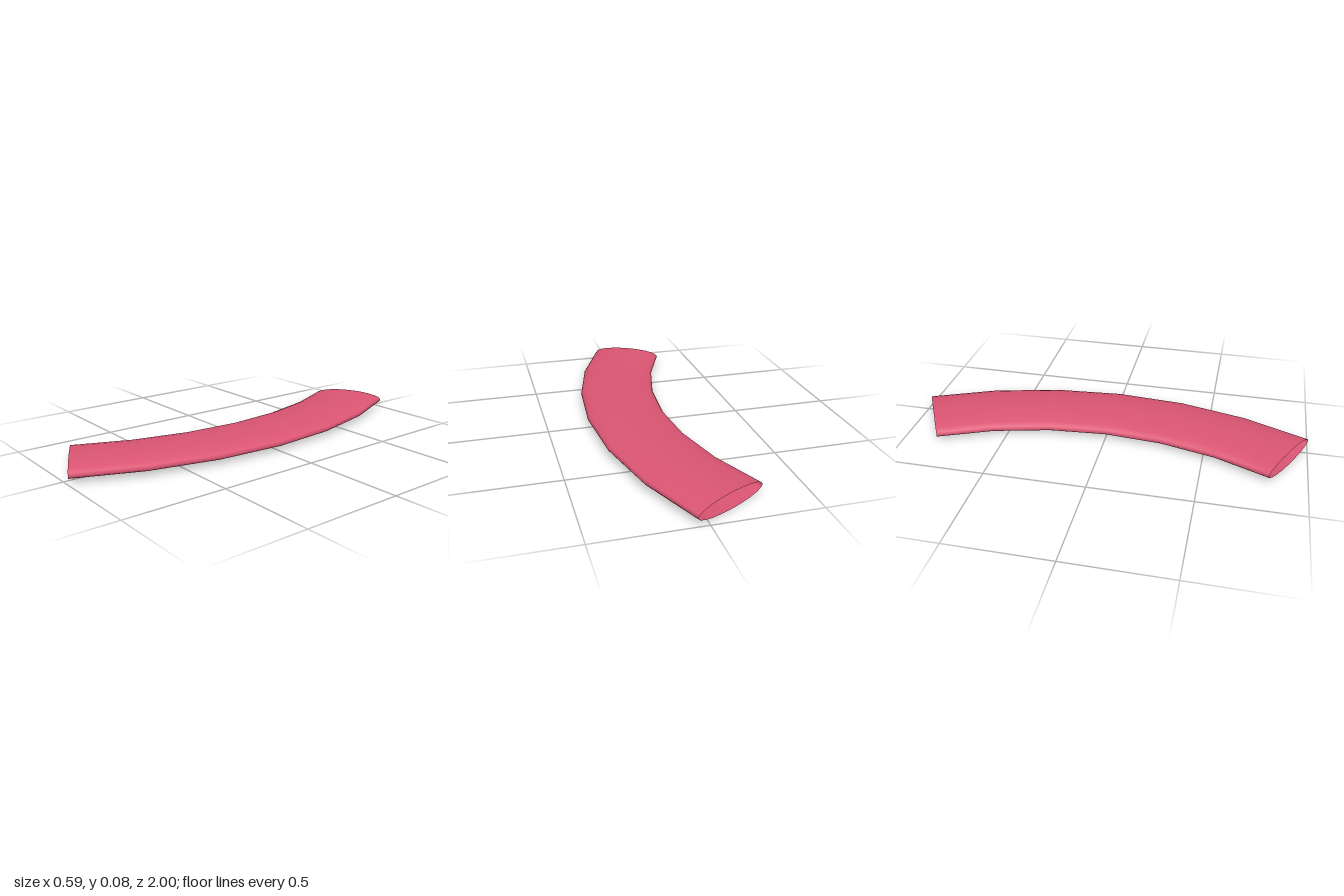
import * as THREE from 'three';

export function createModel() {
  const group = new THREE.Group();
  group.name = 'curvedBand';

  const radius = 1.97;               // bend radius of the centre line
  const tube = 0.197;                // half width of the band
  const halfArc = THREE.MathUtils.degToRad(27.5);
  const halfHeight = 0.04;

  // Open-ended arc of a torus, laid flat and squashed to an oval section
  const geometry = new THREE.TorusGeometry(radius, tube, 20, 6, 2 * halfArc);
  geometry.rotateZ(-halfArc);
  geometry.rotateX(-Math.PI / 2);
  geometry.scale(1, halfHeight / tube, 1);

  // Centre the arc across x and stand it on the ground
  const outer = radius + tube;
  const inner = (radius - tube) * Math.cos(halfArc);
  geometry.translate(-(outer + inner) / 2, halfHeight, 0);

  const band = new THREE.Mesh(
    geometry,
    new THREE.MeshStandardMaterial({ color: 0xdb5573, side: THREE.DoubleSide })
  );
  band.name = 'ovalTubeArc';
  group.add(band);
  return group;
}
